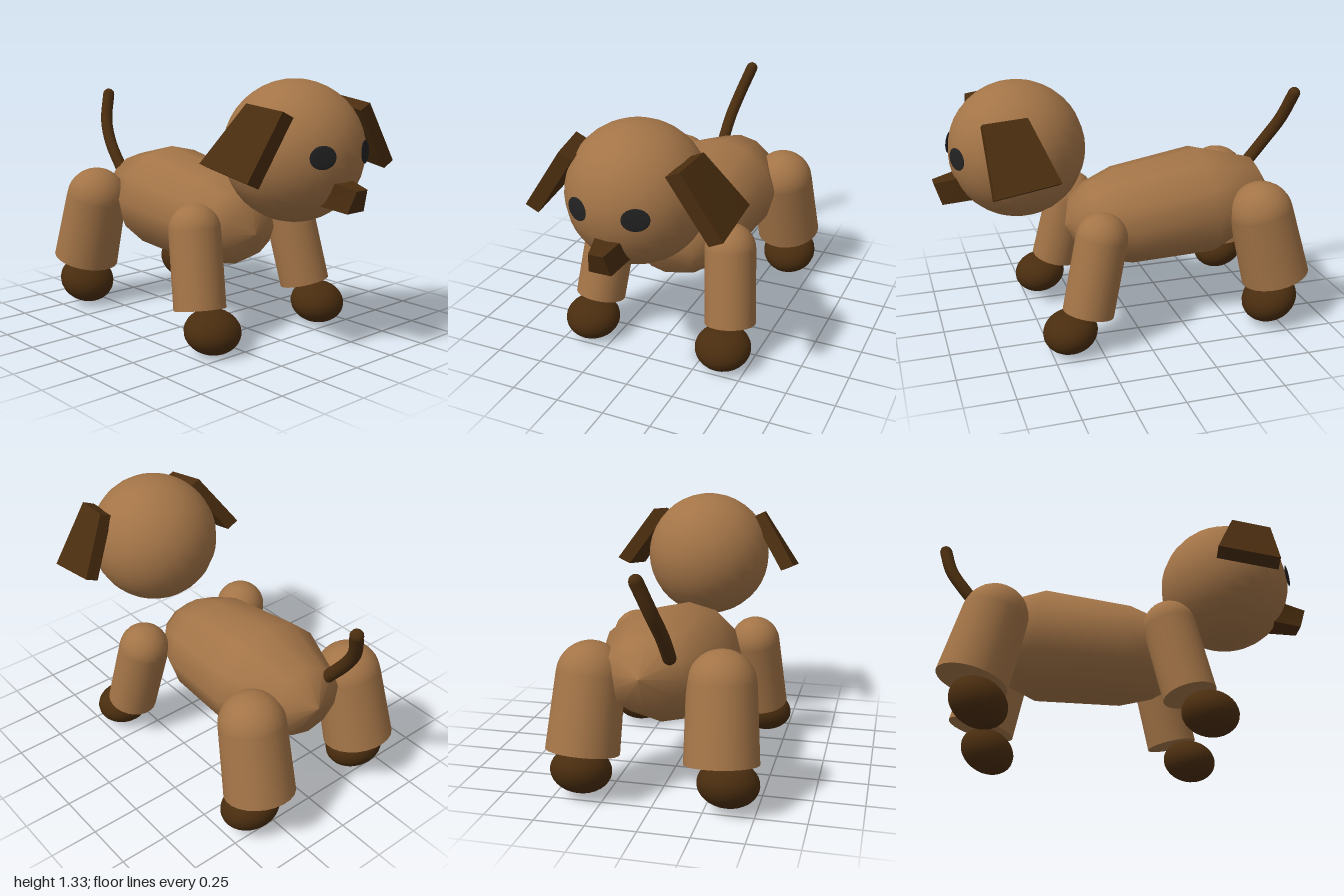
import * as THREE from 'three';
import { mergeGeometries } from 'three/addons/utils/BufferGeometryUtils.js';

const V = (x, y, z) => new THREE.Vector3(x, y, z);
const UP = V(0, 1, 0);

function material(name, color) {
  const m = new THREE.MeshStandardMaterial({ color });
  m.name = name;
  return m;
}

// Six-sided block given by corner(sx, sy, sz) -> [x, y, z], optionally mirrored in x
function block(corner, side = 1) {
  const g = new THREE.BoxGeometry(2, 2, 2);
  const p = g.attributes.position;
  for (let i = 0; i < p.count; i++) {
    const [x, y, z] = corner(p.getX(i) * side, p.getY(i), p.getZ(i));
    p.setXYZ(i, x * side, y, z);
  }
  g.computeVertexNormals();
  return g;
}

// Dome-topped cylinder running from the dome centre (top) to the flat end (bottom)
function legGeometry(top, bottom, rTop, rBottom) {
  const axis = top.clone().sub(bottom);
  const h = axis.length();
  const shaft = new THREE.CylinderGeometry(rTop, rBottom, h, 24).translate(0, h / 2, 0);
  const dome = new THREE.SphereGeometry(rTop, 24, 8, 0, Math.PI * 2, 0, Math.PI / 2).translate(0, h, 0);
  const g = mergeGeometries([shaft, dome]);
  g.applyQuaternion(new THREE.Quaternion().setFromUnitVectors(UP, axis.normalize()));
  return g.translate(bottom.x, bottom.y, bottom.z);
}

export function createModel() {
  const model = new THREE.Group();
  const fur = material('tan fur', 0xa37447);
  const dark = material('dark brown', 0x4a2d0f);
  const black = material('eye black', 0x222222);

  const add = (name, geometry, mat) => {
    const mesh = new THREE.Mesh(geometry, mat);
    mesh.name = name;
    model.add(mesh);
    return mesh;
  };

  // Body: tapered barrel, wider than tall, rising towards the rump
  const profile = [
    [0, -0.31], [0.145, -0.26], [0.208, -0.165], [0.26, 0],
    [0.288, 0.45], [0.175, 0.75], [0, 0.835],
  ].map(([r, y]) => new THREE.Vector2(r, y));
  const body = add('body', new THREE.LatheGeometry(profile, 12), fur);
  body.scale.x = 1.14;
  body.rotation.set(-Math.PI / 2 + 0.118, -0.045, 0, 'YXZ');
  body.position.set(0, 0.567, 0.02);

  // Head
  const headCentre = V(0, 0.99, 0.57);
  add('head', new THREE.SphereGeometry(0.346, 24, 20), fur).position.copy(headCentre);

  // Snout: block narrowing forwards and towards its top
  add('snout', block((sx, sy, sz) => {
    if (sz > 0) return sy > 0 ? [sx * 0.037, 0.853, 1.0] : [sx * 0.057, 0.745, 0.965];
    return sy > 0 ? [sx * 0.072, 0.885, 0.85] : [sx * 0.08, 0.765, 0.79];
  }), dark);

  for (const s of [1, -1]) {
    const label = s > 0 ? 'left' : 'right';

    // Eye: thin oval plate lying on the head
    const out = V(s * 0.143, 0.015, 0.314).normalize();
    const eye = add(label + 'Eye', new THREE.SphereGeometry(1, 20, 10), black);
    eye.scale.set(0.066, 0.055, 0.0045);
    eye.quaternion.setFromUnitVectors(V(0, 0, 1), out);
    eye.position.copy(headCentre).addScaledVector(out, 0.352);

    // Ear: slab flaring outwards and down
    add(label + 'Ear', block((sx, sy, sz) => {
      const outer = sy > 0
        ? (sz > 0 ? [0.3, 1.215, 0.78] : [0.325, 1.238, 0.57])
        : (sz > 0 ? [0.505, 0.912, 0.77] : [0.51, 0.965, 0.455]);
      return sx > 0 ? outer : [outer[0] - 0.068, outer[1] - 0.032, outer[2]];
    }, s), dark).position.x = 0.006;

    // Legs
    add(label + 'FrontLeg', legGeometry(
      V(s * 0.335, 0.585, 0.22), V(s * 0.375, 0.205, 0.305), 0.132, 0.132), fur);
    add(label + 'BackLeg', legGeometry(
      V(s * 0.32, 0.62, -0.65), V(s * 0.34, 0.26, -0.74), 0.167, 0.18), fur);

    // Paws
    const frontPaw = add(label + 'FrontPaw', new THREE.SphereGeometry(1, 24, 16), dark);
    frontPaw.scale.set(0.145, 0.108, 0.14);
    frontPaw.rotation.x = 0.2;
    frontPaw.position.set(s * 0.375, 0.115, 0.4);
    const backPaw = add(label + 'BackPaw', new THREE.SphereGeometry(1, 24, 16), dark);
    backPaw.scale.set(0.152, 0.115, 0.15);
    backPaw.rotation.x = 0.5;
    backPaw.position.set(s * 0.365, 0.145, -0.7);
  }

  // Tail: bent round rod with rounded ends
  const path = [V(-0.09, 0.755, -0.73), V(-0.083, 0.885, -0.835), V(-0.055, 1.01, -0.915), V(-0.003, 1.16, -0.962)];
  const tail = new THREE.TubeGeometry(new THREE.CatmullRomCurve3(path), 12, 0.033, 12);
  const ends = [path[0], path[3]].map((p) => new THREE.SphereGeometry(0.033, 12, 8).translate(p.x, p.y, p.z));
  add('tail', mergeGeometries([tail, ...ends]), dark);

  return model;
}
